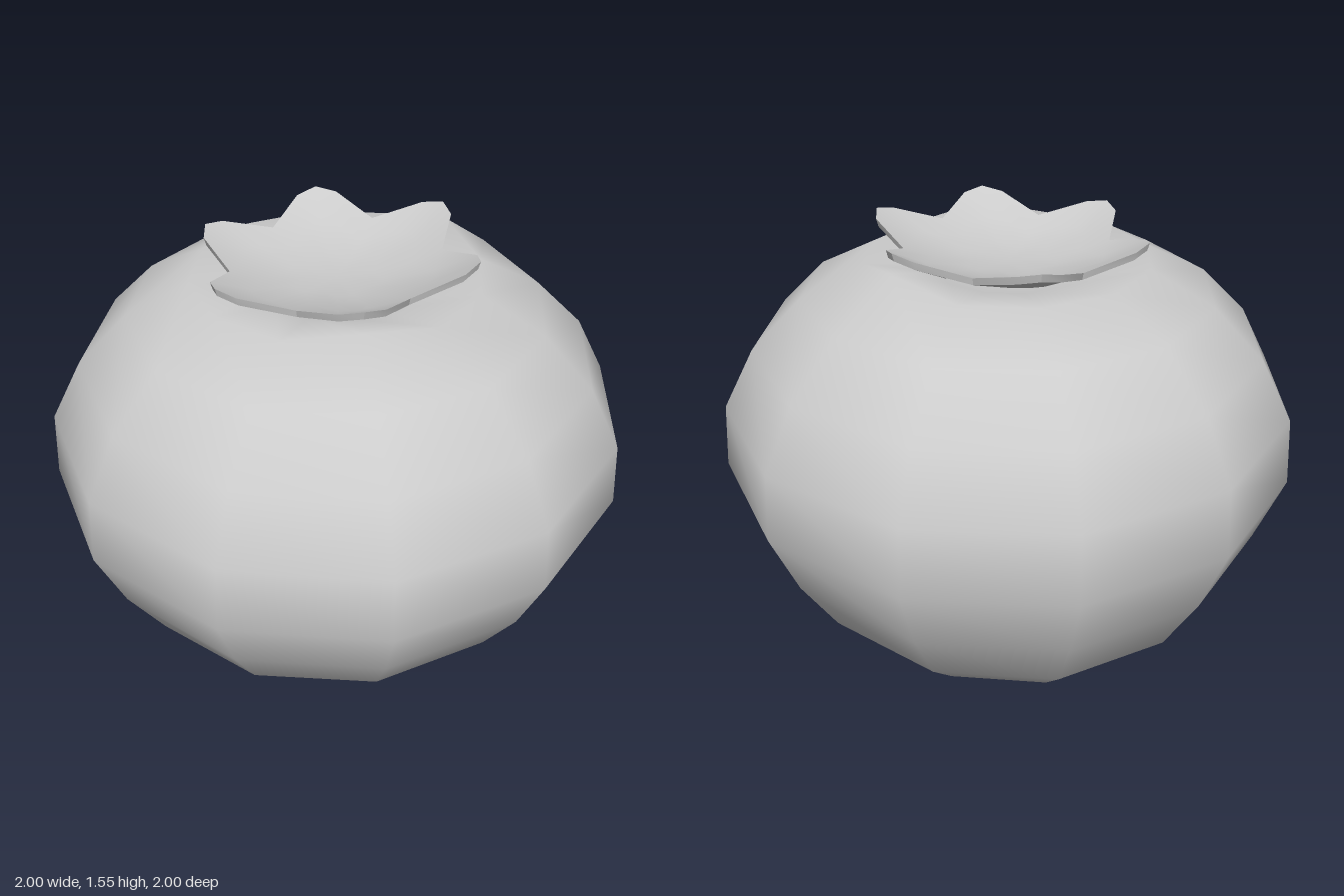
import * as THREE from 'three';
import { mergeVertices, toCreasedNormals } from 'three/addons/utils/BufferGeometryUtils.js';

const material = new THREE.MeshStandardMaterial({ color: 0xcccccc });

// Squat round fruit: a 12-sided lathe, leaning slightly underneath and lumpy at the shoulder
function createFruit() {
  const profile = [
    [0, 0.035], [0.22, 0.025], [0.435, 0.055], [0.63, 0.15], [0.785, 0.305], [0.91, 0.52],
    [1, 0.75], [0.98, 0.975], [0.87, 1.175], [0.70, 1.34], [0.485, 1.445], [0.25, 1.4], [0, 1.37],
  ].map(([r, y]) => new THREE.Vector2(r, y));
  let geometry = new THREE.LatheGeometry(profile, 12);
  geometry.deleteAttribute('uv');
  geometry.deleteAttribute('normal');
  geometry = mergeVertices(geometry, 1e-4);

  const lumps = [[0.42, 0.245, 0.04], [0, -0.49, 0.05]];
  const p = geometry.attributes.position;
  for (let i = 0; i < p.count; i++) {
    const x = p.getX(i), z = p.getZ(i);
    let y = p.getY(i);
    if (y < 0.9) {
      // underside hangs lower on the -x side
      const r = Math.hypot(x, z) || 1;
      const lean = Math.min(0.035, 0.09 * r) * Math.min(1, (0.9 - y) / 0.6);
      y += lean * x / r;
    } else if (y > 1.3) {
      for (const [lx, lz, h] of lumps) {
        y += h * Math.exp(-((x - lx) ** 2 + (z - lz) ** 2) / 0.02);
      }
    }
    p.setY(i, y);
  }
  geometry.computeVertexNormals();
  const mesh = new THREE.Mesh(geometry, material);
  mesh.name = 'fruit';
  return mesh;
}

// Six-pointed leafy cap: a thin star-shaped bowl with blunt petal tips
function createCalyx() {
  const outline = [];
  for (let k = 0; k < 6; k++) {
    for (const [degrees, r] of [[-9, 0.45], [0, 0.473], [9, 0.45], [30, 0.35]]) {
      outline.push([THREE.MathUtils.degToRad(k * 60 + degrees), r]);
    }
  }
  // loops run from the underside centre, round the rim, to the top centre: [scale, drop]
  const t = 0.022;
  const loops = [[0, t], [0.35, t], [0.7, t], [0.985, t], [1, 0], [0.7, 0], [0.35, 0], [0, 0]];
  const positions = [], indices = [];
  const n = outline.length;
  loops.forEach(([scale, drop], i) => {
    outline.forEach(([a, radius], j) => {
      const r = radius * scale;
      const x = r * Math.sin(a), z = r * Math.cos(a);
      positions.push(x, 1.425 + 0.85 * r ** 2.6 - drop + 0.018 * x - 0.022 * z, z);
      if (i === loops.length - 1) return;
      const p = i * n + j, q = i * n + (j + 1) % n;
      if (i > 0) indices.push(p, q, p + n);
      if (i < loops.length - 2) indices.push(q, q + n, p + n);
    });
  });
  const geometry = new THREE.BufferGeometry();
  geometry.setAttribute('position', new THREE.Float32BufferAttribute(positions, 3));
  geometry.setIndex(indices);
  const mesh = new THREE.Mesh(toCreasedNormals(geometry, Math.PI / 5), material);
  mesh.name = 'calyx';
  return mesh;
}

export function createModel() {
  const model = new THREE.Group();
  model.name = 'roundFruit';
  model.add(createFruit(), createCalyx());
  return model;
}
